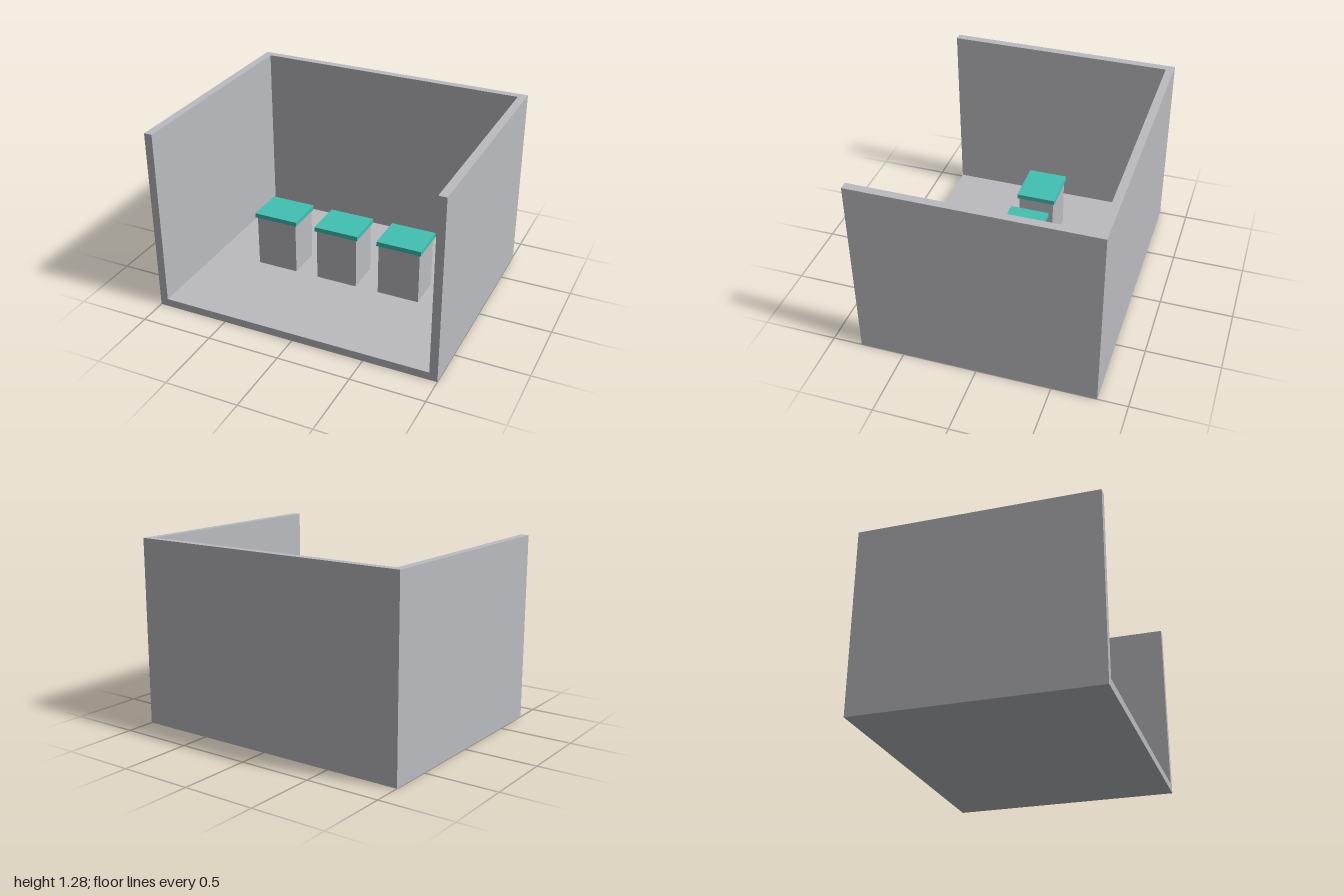
import * as THREE from 'three';

export function createModel() {
  const group = new THREE.Group();
  const grey = new THREE.MeshStandardMaterial({ color: 0xbbbcc0 });
  grey.name = 'light grey';
  const teal = new THREE.MeshStandardMaterial({ color: 0x41c1b3 });
  teal.name = 'teal';

  const W = 2, H = 1.28, D = 1.6, T = 0.055;

  // Open-fronted room: one U-shaped wall outline, extruded upward from the floor
  const outline = new THREE.Shape([
    [-W / 2, -D / 2], [-W / 2 + T, -D / 2], [-W / 2 + T, D / 2 - T],
    [W / 2 - T, D / 2 - T], [W / 2 - T, -D / 2], [W / 2, -D / 2],
    [W / 2, D / 2], [-W / 2, D / 2],
  ].map(([x, y]) => new THREE.Vector2(x, y)));
  const wallGeometry = new THREE.ExtrudeGeometry(outline, { depth: H, bevelEnabled: false });
  wallGeometry.rotateX(-Math.PI / 2);
  const walls = new THREE.Mesh(wallGeometry, grey);
  walls.name = 'walls';
  group.add(walls);

  const addBox = (parent, name, material, w, h, d, bottom) => {
    const mesh = new THREE.Mesh(new THREE.BoxGeometry(w, h, d), material);
    mesh.name = name;
    mesh.position.y = bottom + h / 2;
    parent.add(mesh);
    return mesh;
  };

  // Floor slab fitted between the walls
  addBox(group, 'floor', grey, W - 2 * T, T, D - T, 0).position.z = T / 2;

  // Row of three pedestals with overhanging tops
  ['right', 'middle', 'left'].forEach((side, i) => {
    const pedestal = new THREE.Group();
    pedestal.name = `${side}Pedestal`;
    pedestal.position.set((i - 1) * 0.46, 0, -0.003);
    addBox(pedestal, 'pedestalBase', grey, 0.295, 0.428 - T, 0.25, T);
    addBox(pedestal, 'pedestalTop', teal, 0.318, 0.032, 0.275, 0.428);
    group.add(pedestal);
  });

  return group;
}
